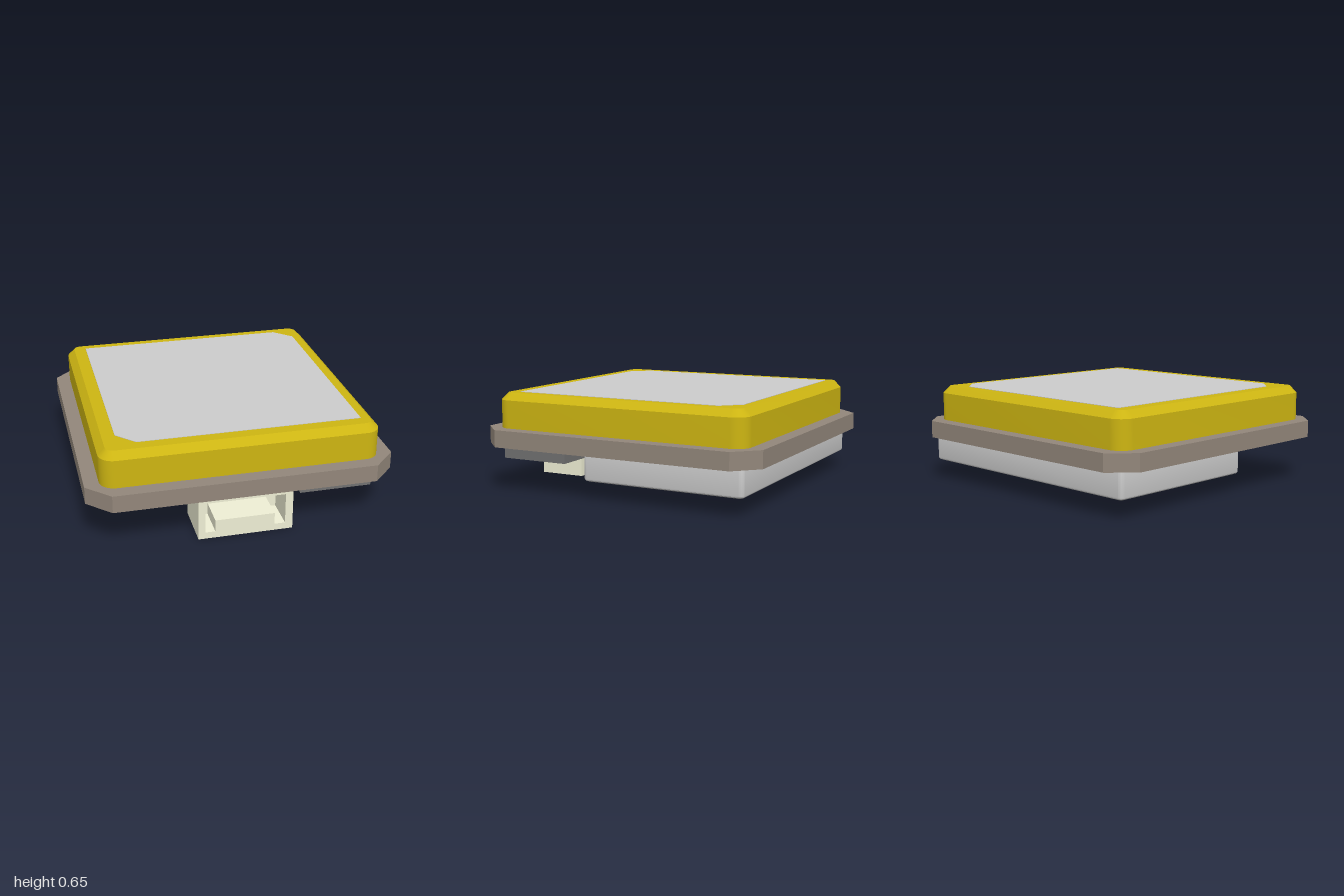
import * as THREE from 'three';
import { toCreasedNormals } from 'three/addons/utils/BufferGeometryUtils.js';

const mat = (color) => new THREE.MeshStandardMaterial({ color });
const GREY = mat(0xcccccc), BOARD = mat(0x92867a), CERAMIC = mat(0xcdb512);
const PLASTIC = mat(0xeeeed4), CHIP = mat(0x707070), LABEL = mat(0x4c4c4c), MARK = mat(0x8c8c8c);

// Outline given as [x, z] pairs
const outline = (pts) => new THREE.Shape(pts.map(([x, z]) => new THREE.Vector2(x, -z)));

// Rectangle with rounded corners, in x and z
function roundedRect(x0, x1, z0, z1, r) {
  const s = new THREE.Shape();
  s.absarc(x1 - r, -z0 - r, r, 0, Math.PI / 2);
  s.absarc(x0 + r, -z0 - r, r, Math.PI / 2, Math.PI);
  s.absarc(x0 + r, -z1 + r, r, Math.PI, Math.PI * 1.5);
  s.absarc(x1 - r, -z1 + r, r, Math.PI * 1.5, Math.PI * 2);
  s.closePath();
  return s;
}

// Flat part between two heights, with optional edge bevel
function slab(name, shape, y0, y1, material, bevel = 0, segments = 1) {
  let geo = new THREE.ExtrudeGeometry(shape, {
    depth: y1 - y0 - 2 * bevel, curveSegments: 6, bevelEnabled: bevel > 0,
    bevelThickness: bevel, bevelSize: bevel, bevelOffset: -bevel, bevelSegments: segments,
  });
  geo.rotateX(-Math.PI / 2).translate(0, y0 + bevel, 0);
  if (bevel) geo = toCreasedNormals(geo, 0.5);
  const mesh = new THREE.Mesh(geo, material);
  mesh.name = name;
  return mesh;
}

function box(name, x0, x1, y0, y1, z0, z1, material) {
  const mesh = new THREE.Mesh(new THREE.BoxGeometry(x1 - x0, y1 - y0, z1 - z0), material);
  mesh.position.set((x0 + x1) / 2, (y0 + y1) / 2, (z0 + z1) / 2);
  mesh.name = name;
  return mesh;
}

// Socket: a shell with a stepped opening, closed by a back block
function createConnector() {
  const g = new THREE.Group();
  g.name = 'connector';
  const face = new THREE.Shape([[-0.31, 0], [0.31, 0], [0.31, 0.3], [-0.31, 0.3]].map((p) => new THREE.Vector2(...p)));
  face.holes.push(new THREE.Path([
    [-0.265, 0.045], [-0.265, 0.255], [0.26, 0.255], [0.26, 0.045],
    [0.19, 0.045], [0.19, 0.125], [-0.2, 0.125], [-0.2, 0.045],
  ].map((p) => new THREE.Vector2(...p))));
  const shell = new THREE.Mesh(
    new THREE.ExtrudeGeometry(face, { depth: 0.22, bevelEnabled: false }).translate(0, 0, 0.73), PLASTIC);
  shell.name = 'connectorShell';
  g.add(shell, box('connectorBack', -0.31, 0.31, 0, 0.3, 0.625, 0.73, PLASTIC));
  return g;
}

// Chip with a row of pads on every side and a corner dot
function createChip() {
  const g = new THREE.Group();
  g.name = 'chip';
  const cx = 0.62, cz = 0.635;
  g.add(box('chipBody', cx - 0.24, cx + 0.24, 0.205, 0.3, cz - 0.24, cz + 0.24, CHIP));
  for (let side = 0; side < 4; side++) {
    const row = new THREE.Group();
    row.name = 'padRow';
    for (let i = 0; i < 4; i++) {
      const x = (i - 1.5) * 0.1;
      row.add(box('pad', x - 0.025, x + 0.025, 0.28, 0.3, 0.23, 0.29, BOARD));
    }
    row.position.set(cx, 0, cz);
    row.rotation.y = side * Math.PI / 2;
    g.add(row);
  }
  const dot = new THREE.Mesh(new THREE.CylinderGeometry(0.032, 0.032, 0.004, 20), MARK);
  dot.position.set(0.44, 0.204, 0.815);
  dot.name = 'chipDot';
  g.add(dot);
  return g;
}

export function createModel() {
  const model = new THREE.Group();
  model.name = 'antennaModule';

  // Circuit board with cut corners
  const c = 0.85;
  model.add(slab('circuitBoard', outline([
    [-c, 1], [c, 1], [1, c], [1, -c], [c, -1], [-c, -1], [-1, -c], [-1, c],
  ]), 0.3, 0.415, BOARD));

  // Ceramic block and its metal patch with two cut corners
  model.add(slab('ceramicBlock', roundedRect(-0.905, 0.905, -0.905, 0.905, 0.1), 0.35, 0.65, CERAMIC, 0.047));
  model.add(slab('patch', outline([
    [-0.66, 0.78], [0.8, 0.78], [0.8, -0.68], [0.68, -0.8], [-0.775, -0.8], [-0.775, 0.66],
  ]), 0.645, 0.653, GREY));

  // Shield can under the board, with a dark underside
  model.add(slab('shieldCan', roundedRect(-0.905, 0.93, -0.908, 0.21, 0.03), 0.122, 0.36, GREY, 0.02, 3));
  model.add(slab('shieldLabel', roundedRect(-0.885, 0.91, -0.888, 0.19, 0.02), 0.12, 0.125, LABEL));

  // Pair of direction arrows sharing one corner
  const ax = -0.33, az = 0.05, w = 0.022, h = 0.085;
  model.add(slab('directionArrows', outline([
    [ax - w, az + w], [0.1, az + w], [0.08, az + h], [0.25, az], [0.08, az - h], [0.1, az - w],
    [ax + w, az - w], [ax + w, -0.38], [ax + h, -0.36], [ax, -0.54], [ax - h, -0.36], [ax - w, -0.38],
  ]), 0.113, 0.122, MARK));

  model.add(createConnector(), createChip());
  return model;
}
